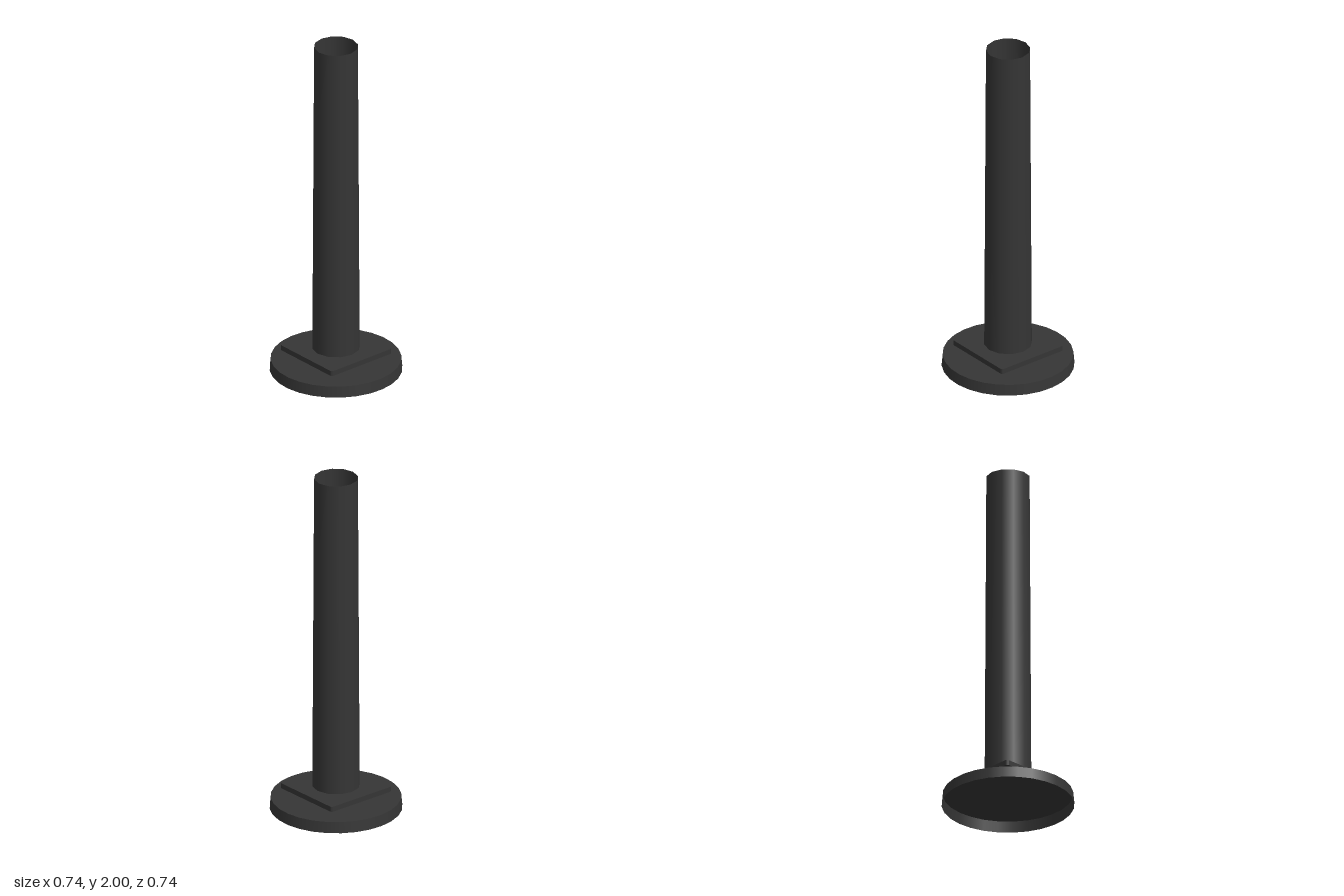
import * as THREE from 'three';

export function createModel() {
  const model = new THREE.Group();
  const darkMetal = new THREE.MeshStandardMaterial({ color: 0x353535, side: THREE.DoubleSide });
  darkMetal.name = 'darkMetal';

  const add = (name, geometry, y, parent = model) => {
    const mesh = new THREE.Mesh(geometry, darkMetal);
    mesh.name = name;
    mesh.position.y = y;
    parent.add(mesh);
    return mesh;
  };

  // Round foot: slightly tapered skirt, hollow underneath, with a flat top
  const foot = new THREE.Group();
  foot.name = 'foot';
  foot.rotation.y = 0.054;
  model.add(foot);
  const sides = 28, footTop = 0.065, topRadius = 0.364;
  add('footSkirt', new THREE.CylinderGeometry(topRadius, 0.37, footTop, sides, 1, true), footTop / 2, foot);
  add('footTop', new THREE.CircleGeometry(topRadius, sides).rotateX(-Math.PI / 2), footTop, foot);

  // Square mounting plate with small rounded corners, set above the foot
  const h = 0.22, r = 0.015;
  const outline = new THREE.Shape();
  outline.moveTo(-h + r, -h);
  outline.lineTo(h - r, -h);
  outline.quadraticCurveTo(h, -h, h, -h + r);
  outline.lineTo(h, h - r);
  outline.quadraticCurveTo(h, h, h - r, h);
  outline.lineTo(-h + r, h);
  outline.quadraticCurveTo(-h, h, -h, h - r);
  outline.lineTo(-h, -h + r);
  outline.quadraticCurveTo(-h, -h, -h + r, -h);
  const plate = new THREE.ExtrudeGeometry(outline, { depth: 0.03, bevelEnabled: false, curveSegments: 3 });
  add('mountingPlate', plate.rotateX(-Math.PI / 2), 0.102);

  // Tall open tube, narrowing slightly to the top
  const tubeBottom = 0.13;
  add('tube', new THREE.CylinderGeometry(0.124, 0.134, 2 - tubeBottom, 12, 1, true), (2 + tubeBottom) / 2);

  return model;
}
